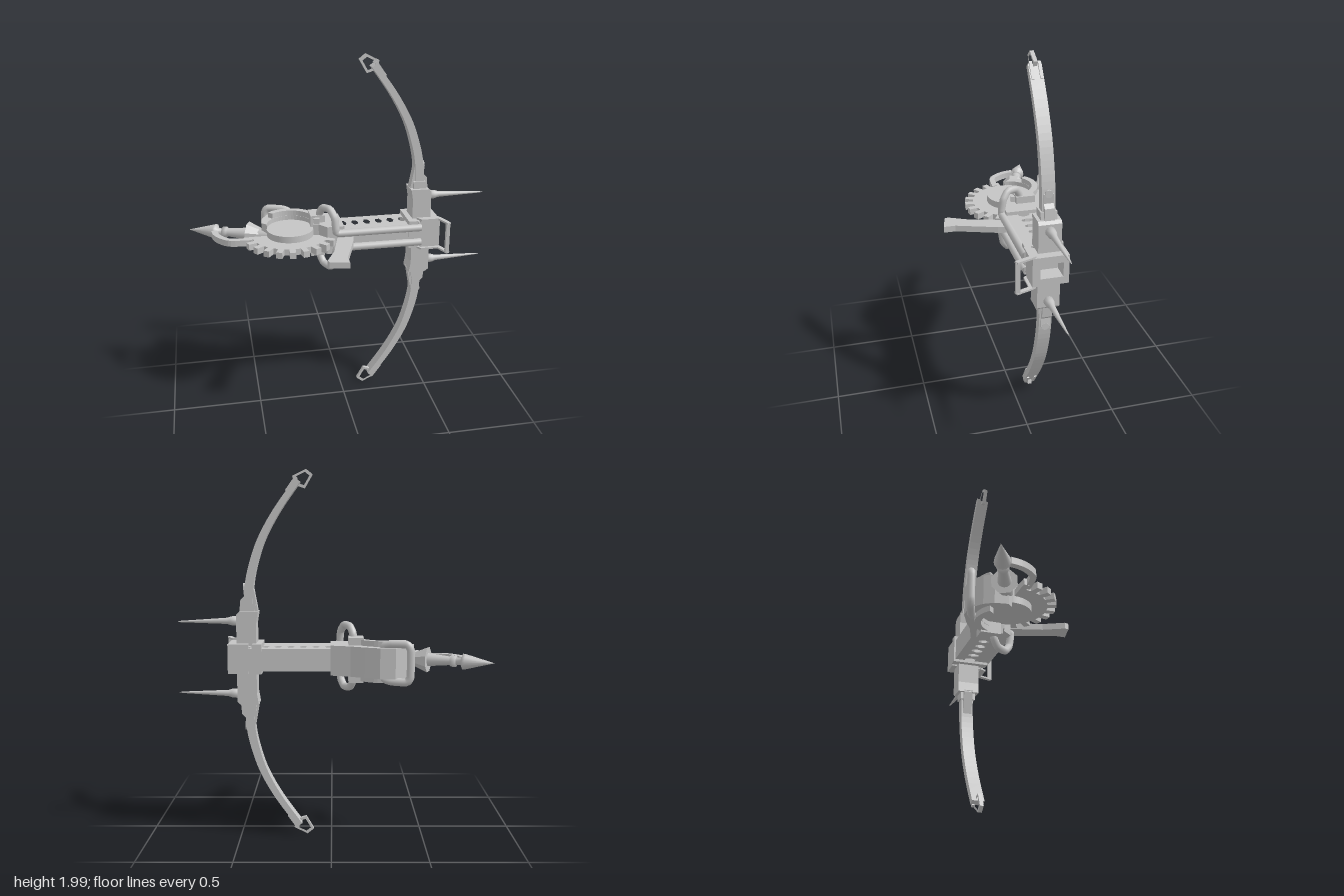
import * as THREE from 'three';

const V2 = (p) => new THREE.Vector2(p[0], p[1]);
const V3 = (p) => new THREE.Vector3(...p);

export function createModel() {
  const steel = new THREE.MeshStandardMaterial({ color: 0xc4c4c4 });
  steel.name = 'grey steel';
  const root = new THREE.Group();
  root.name = 'crossbow';

  const add = (name, geo, parent = root) => {
    const m = new THREE.Mesh(geo, steel);
    m.name = name;
    parent.add(m);
    return m;
  };
  const extrude = (shape, depth) =>
    new THREE.ExtrudeGeometry(shape, { depth, bevelEnabled: false, curveSegments: 24 });
  // Plan outline in (x, z), raised from y0 to y1
  const plan = (pts, y0, y1, holes = []) => {
    const flip = (a) => a.map(([x, z]) => new THREE.Vector2(x, -z));
    const s = new THREE.Shape(flip(pts));
    holes.forEach((h) => s.holes.push(new THREE.Path(flip(h))));
    return extrude(s, y1 - y0).rotateX(-Math.PI / 2).translate(0, y0, 0);
  };
  const box = (x0, x1, y0, y1, z0, z1) =>
    new THREE.BoxGeometry(x1 - x0, y1 - y0, z1 - z0).translate((x0 + x1) / 2, (y0 + y1) / 2, (z0 + z1) / 2);
  const pipe = (pts, r) => {
    const curve = new THREE.CatmullRomCurve3(pts.map(V3), false, 'catmullrom', 0.25);
    return new THREE.TubeGeometry(curve, 60, r, 10);
  };
  const lathe = (pts, seg) => new THREE.LatheGeometry(pts.map(V2), seg);
  // Closed band of a given width following a path in 2D
  const band = (pts, w0, w1, n = 20) => {
    const c = new THREE.SplineCurve(pts.map(V2));
    const a = [], b = [];
    for (let i = 0; i <= n; i++) {
      const t = i / n, p = c.getPoint(t), d = c.getTangent(t), w = (w0 + (w1 - w0) * t) / 2;
      a.push([p.x - d.y * w, p.y + d.x * w]);
      b.unshift([p.x + d.y * w, p.y - d.x * w]);
    }
    return [...a, ...b];
  };

  // Rail with a row of hexagonal slots
  const slots = [];
  for (let i = 0; i < 7; i++) {
    const x = 0.015 + i * 0.068;
    slots.push([[-0.02, 0], [-0.01, -0.03], [0.01, -0.03], [0.02, 0], [0.01, 0.03], [-0.01, 0.03]]
      .map(([a, b]) => [x + a, -0.105 + b]));
  }
  add('rail', plan([[-0.06, -0.19], [0.46, -0.19], [0.46, 0], [-0.06, 0]], 0.94, 1.06, slots));

  // Hollow muzzle block, collar and stirrup
  const frame = new THREE.Shape([[0, 0.925], [0.19, 0.925], [0.19, 1.085], [0, 1.085]].map(V2));
  frame.holes.push(new THREE.Path([[0.04, 0.965], [0.04, 1.045], [0.16, 1.045], [0.16, 0.965]].map(V2)));
  add('muzzleBlock', extrude(frame, 0.11).rotateY(Math.PI / 2).translate(0.44, 0, 0));
  add('muzzleFloor', box(0.43, 0.46, 0.94, 1.07, -0.18, -0.01));
  add('collar', box(0.37, 0.42, 0.925, 1.085, -0.2, 0.005));
  const side = [[0.42, -0.02], [0.545, -0.02], [0.56, 0.01], [0.585, 0.085], [0.565, 0.095], [0.535, 0.015], [0.44, 0.015]];
  for (const y of [0.914, 1.086]) add('stirrupSide', plan(side, y, y + 0.01));
  add('stirrupBar', box(0.56, 0.58, 0.918, 1.092, 0.07, 0.092));

  // Bow limbs, mirrored about the rail
  for (const turn of [0, Math.PI]) {
    const limb = new THREE.Group();
    limb.name = turn ? 'lowerLimb' : 'upperLimb';
    limb.position.set(0, 1.003, -0.1);
    limb.rotation.x = turn;
    root.add(limb);
    const slab = (name, pts, w) =>
      add(name, extrude(new THREE.Shape(pts.map(V2)), w).translate(0, 0, -w / 2), limb);
    slab('bowArm', band([[0.445, 0.25], [0.435, 0.4], [0.405, 0.53], [0.36, 0.65], [0.28, 0.79], [0.175, 0.935]], 0.05, 0.032), 0.068);
    slab('riser', [[0.4, 0.07], [0.505, 0.07], [0.505, 0.235], [0.49, 0.25], [0.39, 0.25], [0.4, 0.19]], 0.12);
    slab('riserNeck', [[0.39, 0.24], [0.492, 0.24], [0.485, 0.31], [0.465, 0.33], [0.47, 0.38], [0.415, 0.38]], 0.05);
    slab('riserCheek', [[0.41, 0.22], [0.485, 0.22], [0.475, 0.29], [0.405, 0.29]], 0.085);
    add('bolt', new THREE.CylinderGeometry(0.02, 0.02, 0.04, 16).rotateZ(Math.PI / 2).translate(0.45, 0.38, 0), limb);
    // Side spike
    add('spike', lathe([[0, 0], [0.027, 0], [0.024, 0.04], [0.017, 0.06], [0.004, 0.31], [0, 0.33]], 14)
      .rotateZ(-Math.PI / 2 - 0.015).translate(0.5, 0.198, 0), limb);
    // Five-sided string loop
    const ring = [[0.098, 0.965], [0.133, 0.993], [0.206, 0.957], [0.19, 0.91], [0.14, 0.893]];
    const s = new THREE.Shape(ring.map(V2));
    s.holes.push(new THREE.Path(ring.map(([x, y]) => V2([0.152 + (x - 0.152) * 0.68, 0.944 + (y - 0.944) * 0.68]))));
    add('stringLoop', extrude(s, 0.02).translate(0, 0, -0.01), limb);
    for (const z of [-0.022, 0.022]) add('tipProng', box(-0.045, 0.045, -0.008, 0.008, z - 0.007, z + 0.007)
      .rotateZ(-0.95).translate(0.21, 0.915, 0), limb);
  }

  // Drum and crescent housing around it
  const cx = -0.285, cz = -0.1;
  add('drum', new THREE.CylinderGeometry(0.13, 0.13, 0.11, 40).translate(cx, 1.0, cz));
  const arc = (r, a0, a1, n) => Array.from({ length: n + 1 }, (_, i) => {
    const a = a0 + ((a1 - a0) * i) / n;
    return [cx + r * Math.cos(a), cz + r * Math.sin(a)];
  });
  add('housing', plan([[-0.44, -0.14], [-0.43, -0.21], [-0.4, -0.26], [-0.33, -0.315], [-0.25, -0.315], [-0.17, -0.28],
    [-0.1, -0.24], [0.005, -0.205], [0.005, -0.01], [-0.09, -0.01], [-0.13, -0.06],
    ...arc(0.128, 0.25, -Math.PI + 0.1, 24)], 0.92, 1.08));
  add('drumRim', plan([...arc(0.165, -2.3, 0.2, 20), ...arc(0.13, 0.2, -2.3, 20)], 0.89, 1.11));
  add('housingBlock', box(-0.17, -0.09, 0.88, 1.12, -0.2, -0.09));

  // Gear wheel with square teeth
  const teeth = [], count = 22;
  for (let i = 0; i < count; i++) {
    const a = (i / count) * Math.PI * 2, step = (Math.PI * 2) / count;
    for (const [r, f] of [[0.213, 0], [0.213, 0.45], [0.26, 0.5], [0.26, 0.95]])
      teeth.push([cx + r * Math.cos(a + f * step), cz + r * Math.sin(a + f * step)]);
  }
  // Back of the wheel is cut away inside the housing
  const gear = teeth.filter(([x, z]) => z > -0.11 && x < 0);
  add('gear', plan(gear, 0.983, 1.018));

  // Grip
  add('grip', plan([[-0.03, -0.02], [0.06, -0.02], [0.045, 0.05], [-0.03, 0.27], [-0.03, 0.335], [-0.135, 0.312],
    [-0.14, 0.29], [-0.085, 0.18]], 0.983, 1.018));

  // Long side tubes that hook over the housing
  for (const s of [1, -1]) {
    const path = [[0.44, 0.043, 0.005], [0.2, 0.043, 0.005], [-0.03, 0.044, 0.006], [-0.045, 0.07, 0.006],
      [-0.05, 0.13, -0.005], [-0.07, 0.17, -0.035], [-0.1, 0.165, -0.085], [-0.115, 0.13, -0.11], [-0.12, 0.07, -0.12]]
      .map(([x, y, z]) => [x, 1.003 + s * y, z]);
    add('sideTube', pipe(path, 0.021));
  }

  // Rear loop handle
  add('rearHandle', pipe([[-0.26, 1.05, -0.275], [-0.275, 1.09, -0.28], [-0.31, 1.1, -0.295], [-0.385, 1.1, -0.32],
    [-0.405, 1.07, -0.325], [-0.405, 0.935, -0.325], [-0.385, 0.905, -0.32], [-0.31, 0.905, -0.295],
    [-0.275, 0.915, -0.28], [-0.26, 0.955, -0.275]], 0.021));

  // Tail spear, turned along its axis from the tip
  const tail = new THREE.Group();
  tail.name = 'tailSpear';
  tail.position.set(-0.838, 1.003, -0.315);
  tail.quaternion.setFromUnitVectors(new THREE.Vector3(0, -1, 0), V3([-0.931, 0, -0.365]).normalize());
  root.add(tail);
  const turned = (name, pts, seg) => add(name, lathe(pts.slice().map(([r, t]) => [r, t]), seg), tail);
  turned('spearHead', [[0, 0], [0.04, 0.15], [0.042, 0.165], [0.02, 0.175], [0.02, 0.21]], 16);
  turned('spearShaft', [[0, 0.2], [0.03, 0.2], [0.031, 0.225], [0.023, 0.235], [0.036, 0.36]], 16);
  const collar = new THREE.CylinderGeometry(0.07, 0.04, 0.07, 8).toNonIndexed();
  collar.computeVertexNormals();
  add('spearCollar', collar.rotateX(Math.PI).translate(0, 0.385, 0), tail);
  add('spearRoot', new THREE.CylinderGeometry(0.04, 0.04, 0.08, 12).translate(0, 0.44, 0), tail);

  // Curved guard strap between gear and spear
  add('guardStrap', plan(band([[-0.7, -0.225], [-0.69, -0.17], [-0.66, -0.115], [-0.61, -0.075], [-0.5, -0.065]], 0.035, 0.03), 0.985, 1.02));

  return root;
}
